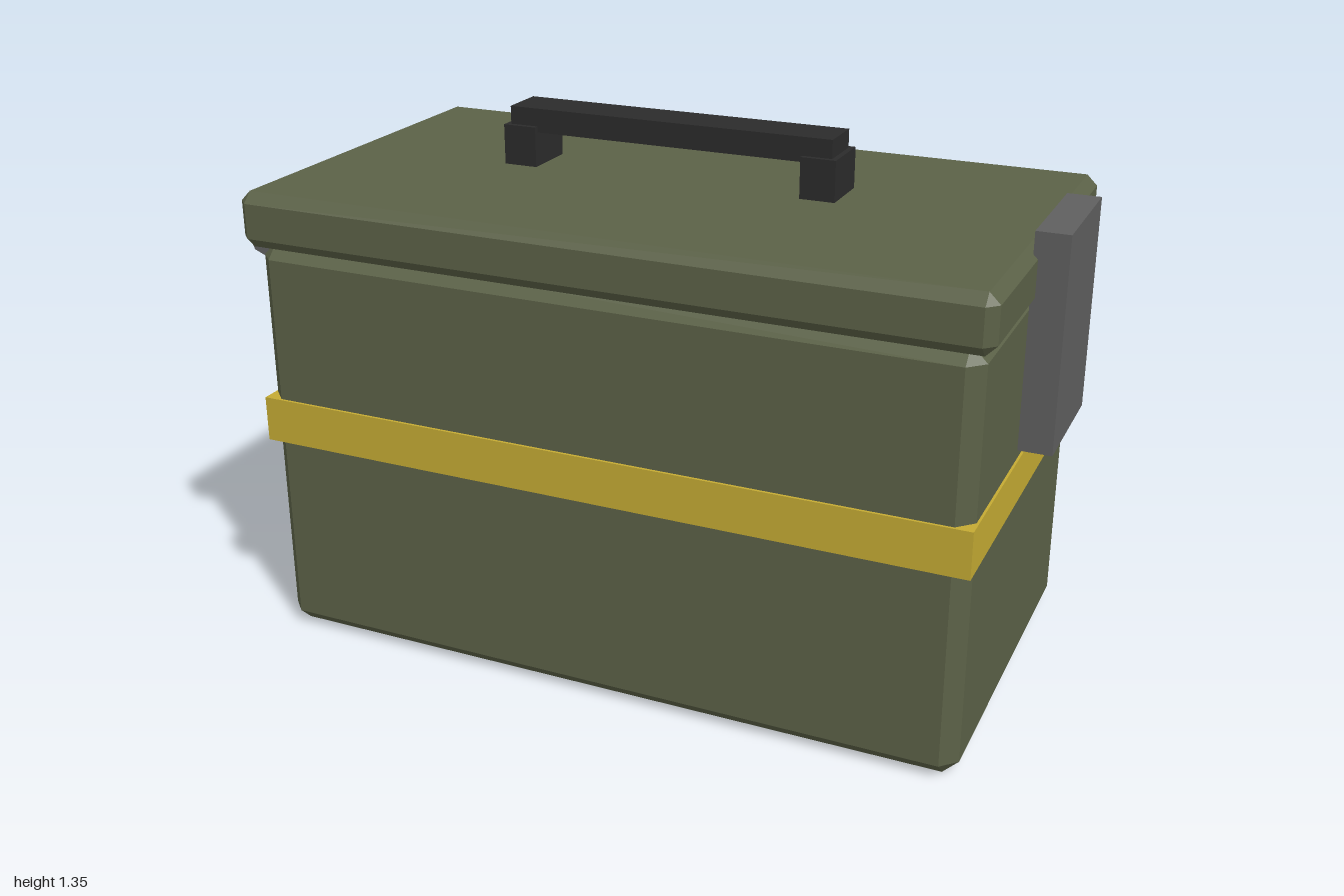
import * as THREE from 'three';
import { ConvexGeometry } from 'three/addons/geometries/ConvexGeometry.js';

const material = (name, color) => {
  const m = new THREE.MeshStandardMaterial({ color });
  m.name = name;
  return m;
};

// Box with every edge chamfered: three corner points at each of the eight corners
function chamferedBox(w, h, d, c) {
  const points = [];
  for (const x of [-w / 2, w / 2])
    for (const y of [-h / 2, h / 2])
      for (const z of [-d / 2, d / 2]) {
        const ix = x - Math.sign(x) * c, iy = y - Math.sign(y) * c, iz = z - Math.sign(z) * c;
        points.push(
          new THREE.Vector3(x, iy, iz),
          new THREE.Vector3(ix, y, iz),
          new THREE.Vector3(ix, iy, z)
        );
      }
  return new ConvexGeometry(points);
}

export function createModel() {
  const olive = material('olive paint', 0x5b6147);
  const yellow = material('yellow band', 0xc4aa33);
  const steel = material('grey steel', 0x5f5f5f);
  const black = material('black handle', 0x2b2b2b);

  const model = new THREE.Group();
  model.name = 'storageBox';
  const add = (parent, name, geometry, mat, x, y, z = 0) => {
    const mesh = new THREE.Mesh(geometry, mat);
    mesh.name = name;
    mesh.position.set(x, y, z);
    parent.add(mesh);
    return mesh;
  };

  // Case, band around it and overhanging lid
  add(model, 'body', chamferedBox(1.814, 1.05, 0.974, 0.038), olive, -0.002, 0.525);
  add(model, 'band', new THREE.BoxGeometry(1.826, 0.116, 0.988), yellow, -0.002, 0.587);
  add(model, 'lid', chamferedBox(1.866, 0.14, 1.022, 0.026), olive, -0.002, 1.112);

  // Carrying handle: grip bar on two posts
  const handle = new THREE.Group();
  handle.name = 'handle';
  handle.position.x = -0.002;
  model.add(handle);
  add(handle, 'grip', new THREE.BoxGeometry(0.842, 0.06, 0.117), black, 0, 1.315);
  for (const side of [-1, 1])
    add(handle, side > 0 ? 'leftPost' : 'rightPost',
      new THREE.BoxGeometry(0.087, 0.1, 0.142), black, side * 0.391, 1.25);

  // Latch plate on one end, hinge rod on the other
  add(model, 'latch', new THREE.BoxGeometry(0.08, 0.52, 0.324), steel, 0.96, 0.96);
  const rodGeometry = new THREE.CylinderGeometry(0.05, 0.05, 0.78, 8).toNonIndexed();
  rodGeometry.computeVertexNormals();
  add(model, 'hingeRod', rodGeometry, steel, -0.95, 1.032).rotation.x = Math.PI / 2;

  return model;
}
